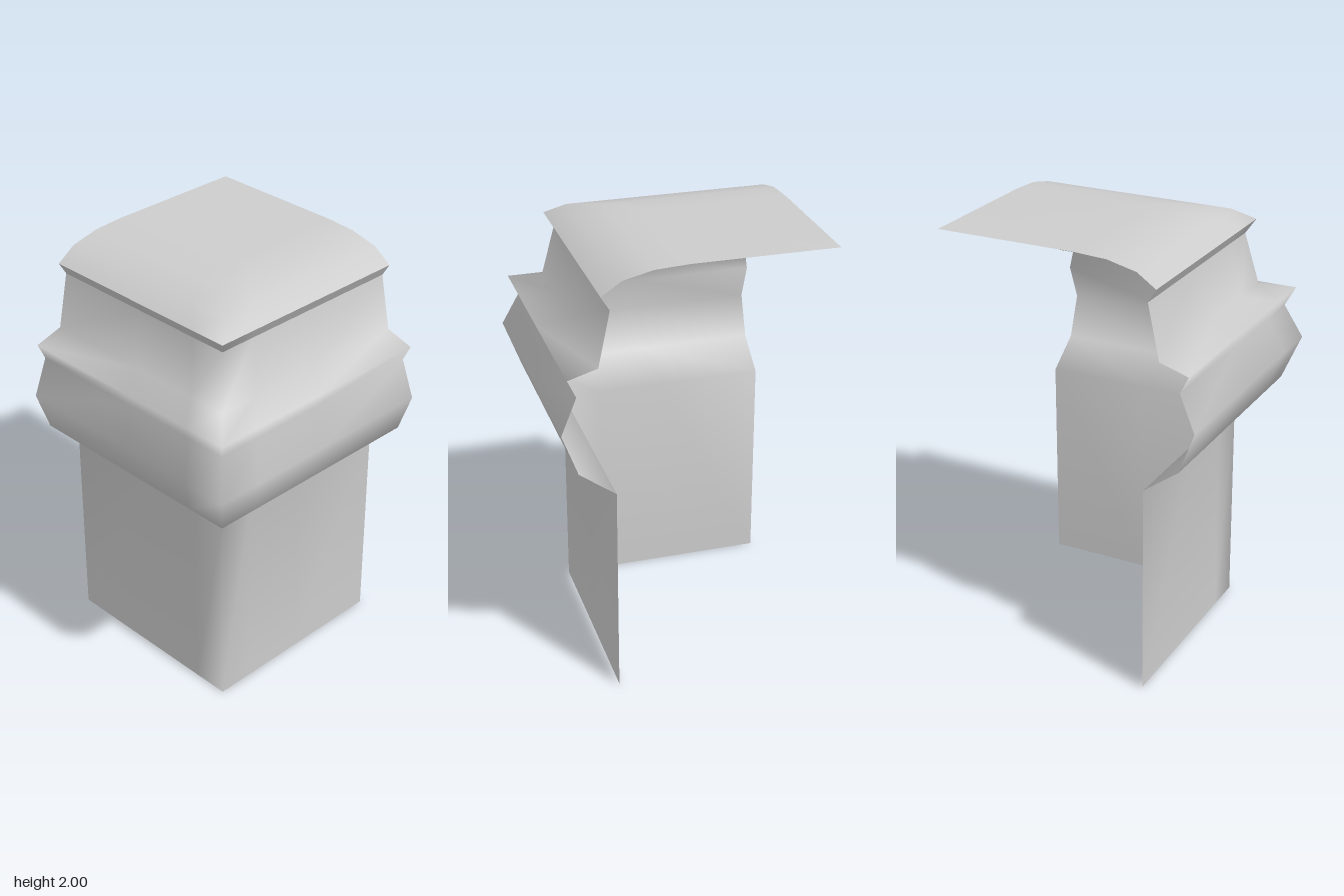
import * as THREE from 'three';
import { mergeVertices } from 'three/addons/utils/BufferGeometryUtils.js';

const END = -0.6; // both wings stop at this coordinate

// Sweep a profile of [offset, height] points around the L-shaped corner path.
function cornerSweep(profile) {
  const positions = [];
  const indices = [];
  const steps = [0, 0.5, 0.82, 1]; // extra loop keeps the rounding close to the corner
  const columns = steps.length * 2 - 1;
  for (const [o, y] of profile) {
    const along = steps.map((t) => END + (o - END) * t);
    for (const x of along) positions.push(x, y, o); // front wing
    for (const z of along.slice(0, -1).reverse()) positions.push(o, y, z); // side wing
  }
  for (let i = 0; i < profile.length - 1; i++) {
    for (let j = 0; j < columns - 1; j++) {
      const a = i * columns + j;
      const b = a + columns;
      indices.push(a, a + 1, b + 1, a, b + 1, b);
    }
  }
  const geometry = new THREE.BufferGeometry();
  geometry.setAttribute('position', new THREE.Float32BufferAttribute(positions, 3));
  geometry.setIndex(indices);
  const merged = mergeVertices(geometry);
  merged.computeVertexNormals();
  return merged;
}

export function createModel() {
  const group = new THREE.Group();
  group.name = 'cornerPost';
  const stone = new THREE.MeshStandardMaterial({ color: 0xcccccc, side: THREE.DoubleSide });
  stone.name = 'light grey stone';

  // Each band is smooth inside, with a sharp edge to the next one.
  const bands = {
    // plain shaft, bulging moulding, ledge and tapered neck
    shaftAndMoulding: [
      [0.367, 0], [0.367, 0.99], [0.53, 1.11], [0.6, 1.3], [0.532, 1.47],
      [0.57, 1.55], [0.437, 1.59], [0.385, 1.84],
    ],
    // underside of the cap rim
    capUnderside: [[0.385, 1.84], [0.422, 1.9]],
    // rounded cap running into the flat top
    cap: [[0.422, 1.9], [0.335, 1.96], [0.2, 1.992], [0.05, 2], [END, 2]],
  };

  for (const [name, profile] of Object.entries(bands)) {
    const mesh = new THREE.Mesh(cornerSweep(profile), stone);
    mesh.name = name;
    group.add(mesh);
  }
  return group;
}
